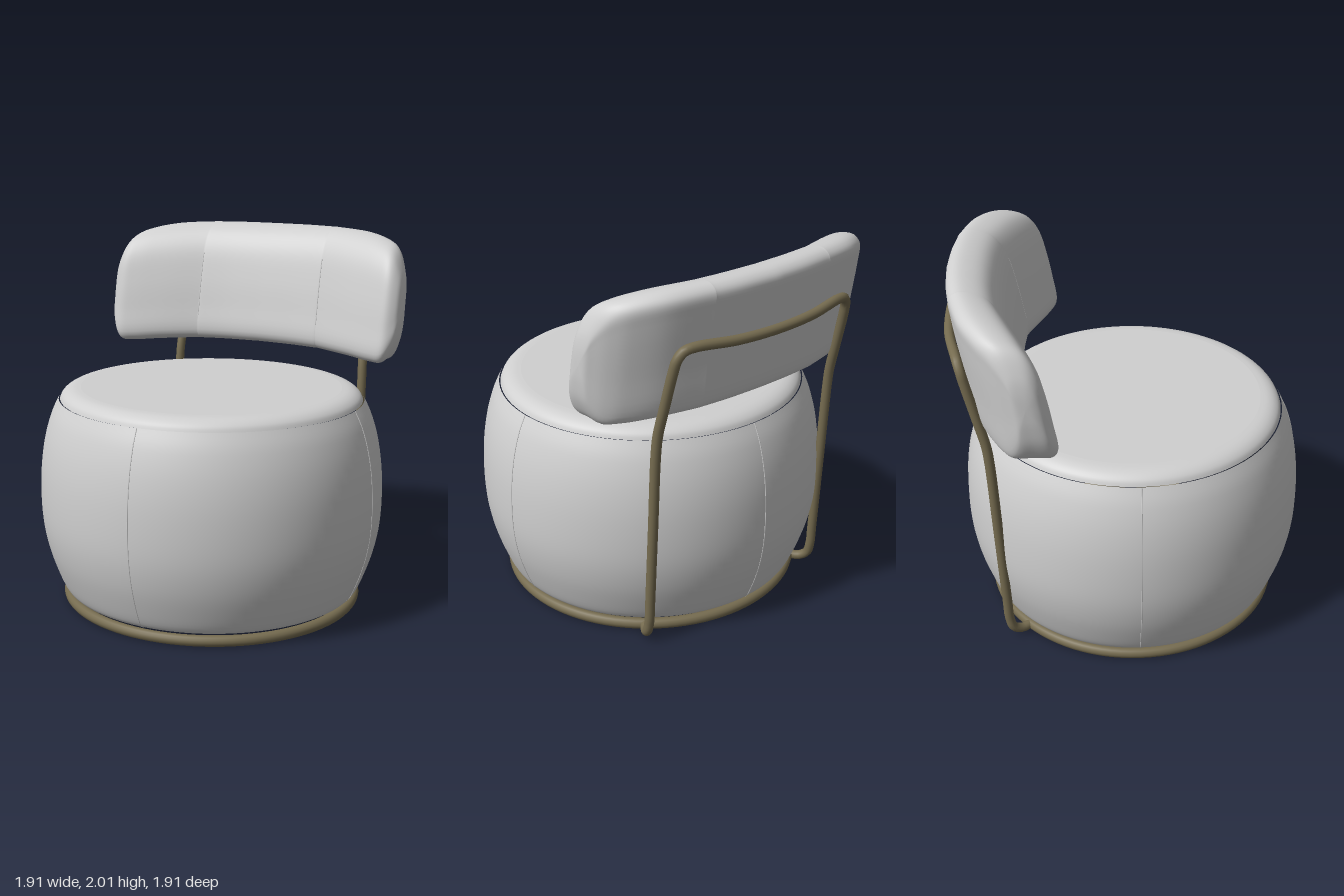
import * as THREE from 'three';

const fabric = new THREE.MeshStandardMaterial({ color: 0xd0d0d0 });
fabric.name = 'light grey fabric';
const metal = new THREE.MeshStandardMaterial({ color: 0x766c50 });
metal.name = 'bronze metal';

const SEAT_Z = 0.025, SEAT_SCALE = 0.973; // seat is slightly shallower than wide

const v2 = (p) => new THREE.Vector2(...p);
const v3 = (p) => new THREE.Vector3(...p);

function add(parent, name, geometry, material) {
  const mesh = new THREE.Mesh(geometry, material);
  mesh.name = name;
  parent.add(mesh);
  return mesh;
}

function tube(points, radius, segments, sides) {
  return new THREE.TubeGeometry(new THREE.CatmullRomCurve3(points), segments, radius, sides);
}

// Backrest outline values at each station from the middle to the end
const stationX = [0, 0.2, 0.36, 0.4, 0.6, 0.75, 0.83, 0.88, 0.9, 0.905];
const frontZ = [-0.56, -0.555, -0.54, -0.532, -0.45, -0.395, -0.38, -0.42, -0.47, -0.53];
const backZ = [-0.93, -0.92, -0.9, -0.893, -0.84, -0.76, -0.69, -0.62, -0.58, -0.53];
const topY = [2, 2, 1.998, 1.997, 1.985, 1.955, 1.91, 1.81, 1.72, 1.62];
const bottomY = [1.34, 1.338, 1.335, 1.334, 1.325, 1.315, 1.325, 1.42, 1.53, 1.62];

// Wedge cross-section: u runs front to back, v bottom to top
const section = new THREE.CatmullRomCurve3([
  [0.06, 0.01], [0, 0.08], [0.06, 0.3], [0.15, 0.55], [0.28, 0.8], [0.45, 0.94], [0.68, 1],
  [0.9, 1], [1, 0.94], [0.98, 0.8], [0.87, 0.4], [0.78, 0.08], [0.7, 0.01], [0.4, 0],
].map(([u, v]) => new THREE.Vector3(u, v, 0)), true).getPoints(70).slice(0, -1);

const splines = [frontZ, backZ, topY, bottomY].map(
  (list) => new THREE.SplineCurve(list.map((value, i) => new THREE.Vector2(stationX[i], value))));

function backrestPoint(t, { x: u, y: v }) {
  const p = splines.map((s) => s.getPoint(Math.abs(t)));
  return [
    Math.sign(t) * p[0].x,
    THREE.MathUtils.lerp(p[3].y, p[2].y, v),
    THREE.MathUtils.lerp(p[0].y, p[1].y, u),
  ];
}

function backrestGeometry() {
  const half = 45, n = section.length, positions = [], indices = [];
  for (let i = -half; i <= half; i++) {
    for (const s of section) positions.push(...backrestPoint(i / half, s));
  }
  for (let i = 0; i < half * 2; i++) {
    for (let j = 0; j < n; j++) {
      const a = i * n + j, c = i * n + ((j + 1) % n);
      indices.push(a, a + n, c, c, a + n, c + n);
    }
  }
  const g = new THREE.BufferGeometry();
  g.setAttribute('position', new THREE.Float32BufferAttribute(positions, 3));
  g.setIndex(indices);
  g.computeVertexNormals();
  return g;
}

export function createModel() {
  const model = new THREE.Group();
  model.name = 'loungeChair';

  // Barrel seat with a separate top cushion
  const seat = new THREE.Group();
  seat.name = 'seat';
  seat.position.z = SEAT_Z;
  seat.scale.z = SEAT_SCALE;
  model.add(seat);

  const side = new THREE.SplineCurve([
    [0.8, 0.065], [0.835, 0.09], [0.875, 0.18], [0.918, 0.31], [0.945, 0.45], [0.953, 0.6],
    [0.946, 0.77], [0.923, 0.92], [0.885, 1.05], [0.842, 1.14],
  ].map(v2));
  const sidePoints = side.getPoints(40);
  add(seat, 'seatBody', new THREE.LatheGeometry(
    [v2([0, 0.065]), v2([0.8, 0.065]), ...sidePoints], 96), fabric);

  const edge = new THREE.SplineCurve([
    [0.835, 1.138], [0.822, 1.163], [0.795, 1.184], [0.76, 1.196], [0.72, 1.2],
  ].map(v2)).getPoints(14);
  add(seat, 'seatCushion', new THREE.LatheGeometry(
    [...edge, v2([0.72, 1.2]), v2([0, 1.2])], 96), fabric);

  // Four upright seams around the barrel
  const seamPoints = sidePoints.filter((p, i) => i % 4 === 0).map((p) => new THREE.Vector3(p.x, p.y, 0));
  for (let i = 0; i < 4; i++) {
    add(seat, 'seatSeam', tube(seamPoints, 0.003, 40, 6), fabric).rotation.y = i * Math.PI / 2;
  }

  // Floor ring
  const ring = add(seat, 'baseRing', new THREE.TorusGeometry(0.81, 0.03, 14, 96), metal);
  ring.rotation.x = Math.PI / 2;
  ring.position.y = 0.03;

  // Backrest pillow with two front seams
  const backrest = new THREE.Group();
  backrest.name = 'backrest';
  model.add(backrest);
  add(backrest, 'backrestPillow', backrestGeometry(), fabric);
  const front = section.filter((s) => s.x < 0.4 && s.y > 0.18 && s.y < 0.78);
  for (const sign of [-1, 1]) {
    const points = front.map((s) => v3(backrestPoint(sign * 2.5 / 9, s)));
    add(backrest, 'backrestSeam', tube(points, 0.003, 30, 6), fabric);
  }

  // Bent tube frame: foot, leg and half of the back bar, mirrored
  const halfFrame = [
    [0.54, 0.03, -0.57], [0.575, 0.032, -0.62], [0.597, 0.065, -0.662], [0.6, 0.13, -0.68],
    [0.6, 0.25, -0.687], [0.6, 0.7, -0.71], [0.6, 1.15, -0.733], [0.597, 1.25, -0.745],
    [0.59, 1.4, -0.782], [0.58, 1.6, -0.832], [0.57, 1.665, -0.848], [0.54, 1.705, -0.862],
    [0.48, 1.716, -0.876], [0.25, 1.703, -0.917],
  ];
  const mirrored = halfFrame.map(([x, y, z]) => [-x, y, z]).reverse();
  const path = [...halfFrame, [0, 1.698, -0.93], ...mirrored].map(v3);
  add(model, 'backFrame', tube(path, 0.026, 220, 14), metal);

  // Rounded tube ends on the floor ring
  for (const sign of [-1, 1]) {
    add(model, 'frameEnd', new THREE.SphereGeometry(0.026, 14, 10), metal)
      .position.set(sign * 0.54, 0.03, -0.57);
  }
  return model;
}
